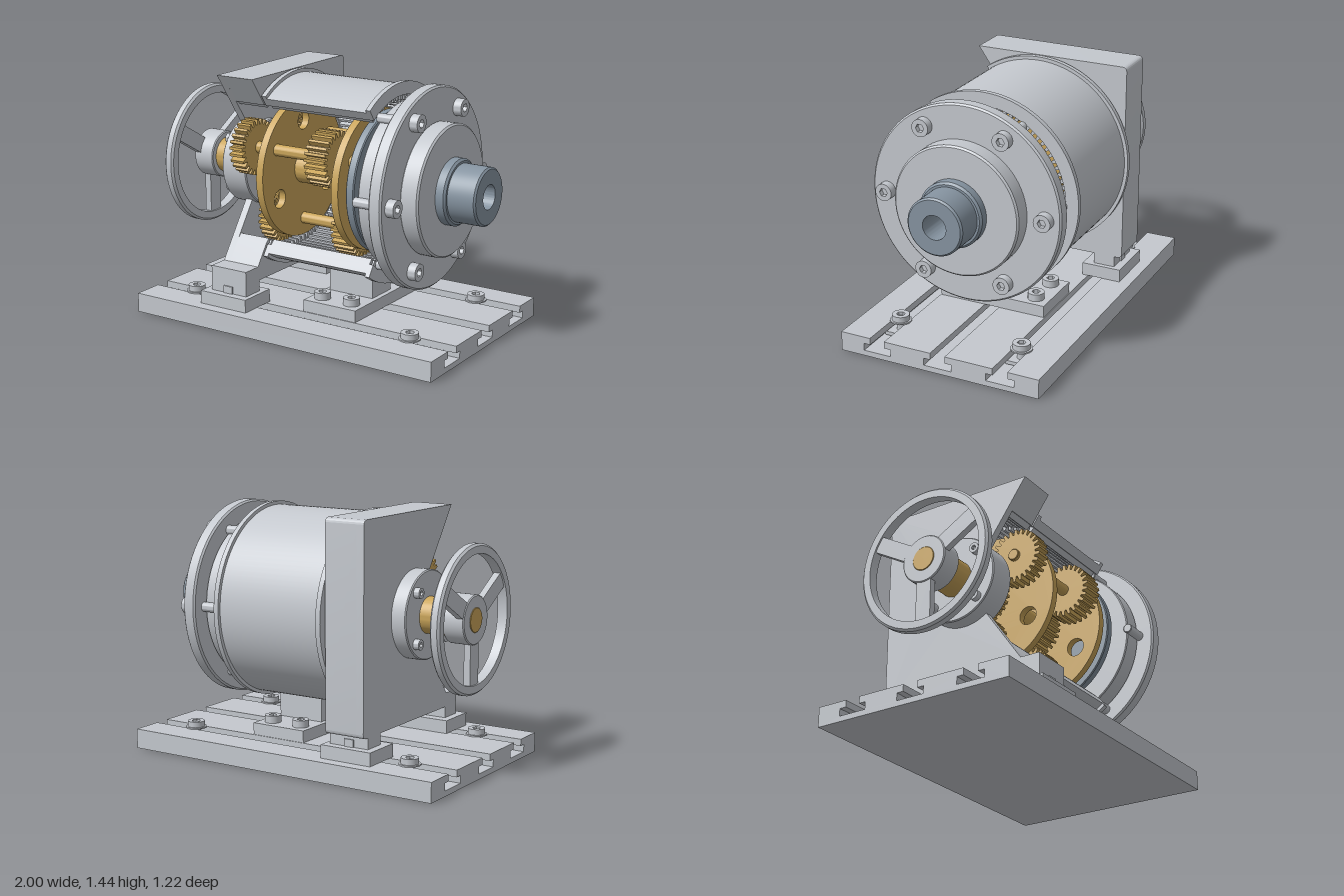
import * as THREE from 'three';
import { toCreasedNormals } from 'three/addons/utils/BufferGeometryUtils.js';

const mat = (name, color) => Object.assign(new THREE.MeshStandardMaterial({ color }), { name });
const AXIS = 0.87;                       // height of the drive axis
const CUT = THREE.MathUtils.degToRad(125); // cutaway wedge opens towards +z
const TAU = Math.PI * 2;

export function createModel() {
  const grey = mat('machined grey', 0xc4c8ce);
  const gold = mat('brass gold', 0xcaa55a);
  const blue = mat('steel blue', 0x8694a1);

  const model = new THREE.Group();
  model.name = 'cutawayGearbox';
  const drive = new THREE.Group();
  drive.name = 'driveTrain';
  drive.position.y = AXIS;
  model.add(drive);

  const add = (parent, name, geo, material, x = 0, y = 0, z = 0) => {
    const m = new THREE.Mesh(geo, material);
    m.name = name;
    m.position.set(x, y, z);
    parent.add(m);
    return m;
  };
  const box = (parent, name, m, x0, x1, y0, y1, z0, z1) =>
    add(parent, name, new THREE.BoxGeometry(x1 - x0, y1 - y0, z1 - z0), m, (x0 + x1) / 2, (y0 + y1) / 2, (z0 + z1) / 2);

  // Turned part along x, solid or with a bore, with bevelled outer edges
  const turned = (name, m, x0, x1, r, bore = 0, b = 0.006, parent = drive) => {
    const p = [[bore, x0], [r - b, x0], [r, x0 + b], [r, x1 - b], [r - b, x1], [bore, x1]];
    if (bore) p.push([bore, x0]);
    const g = new THREE.LatheGeometry(p.map(([a, c]) => new THREE.Vector2(a, c)), 72);
    g.rotateZ(-Math.PI / 2);
    return add(parent, name, toCreasedNormals(g, 0.5), m);
  };

  // Section drawn in (-z, y), extruded along x
  const alongX = (shape, x0, x1) => {
    const g = new THREE.ExtrudeGeometry(shape, { depth: x1 - x0, bevelEnabled: false, curveSegments: 48 });
    g.rotateY(Math.PI / 2);
    g.translate(x0, 0, 0);
    return toCreasedNormals(g, 0.3);
  };
  const polar = (r, a) => new THREE.Vector2(r * Math.cos(a), r * Math.sin(a));
  const poly = (pairs) => pairs.map(([a, b]) => new THREE.Vector2(a, b));

  // Trapezoid teeth between two angles
  const teeth = (n, root, tip, a0 = 0, a1 = TAU) => {
    const pts = [], step = (a1 - a0) / n;
    for (let i = 0; i < n; i++)
      [[0, root], [0.28, root], [0.42, tip], [0.82, tip]].forEach(([f, r]) => pts.push(polar(r, a0 + (i + f) * step)));
    return pts;
  };
  const arc = (r, a0, a1, n = 80) => Array.from({ length: n + 1 }, (_, i) => polar(r, a0 + ((a1 - a0) * i) / n));
  const circleHole = (x, y, r) => new THREE.Path().absarc(x, y, r, 0, TAU, true);

  // Socket head screw, pointing along +z before it is turned
  const screw = (parent, name, r, h, pos, axis) => {
    const g = new THREE.Group();
    g.name = name;
    const s = new THREE.Shape().absarc(0, 0, r, 0, TAU, false);
    s.holes.push(new THREE.Path(arc(r * 0.5, TAU, 0, 6)));
    const head = new THREE.ExtrudeGeometry(s, { depth: h, bevelEnabled: false, curveSegments: 16 });
    add(g, 'screwHead', toCreasedNormals(head, 0.5), grey);
    add(g, 'socketFloor', new THREE.CircleGeometry(r * 0.6, 12), grey, 0, 0, h * 0.45);
    if (axis === 'x') g.rotation.y = Math.PI / 2;
    if (axis === '-x') g.rotation.y = -Math.PI / 2;
    if (axis === 'y') g.rotation.x = -Math.PI / 2;
    g.position.set(...pos);
    parent.add(g);
  };

  // Base plate with three T-slots
  const top = 0.115;
  const section = [[-0.61, 0], [0.61, 0], [0.61, top]];
  for (const c of [0.38, 0, -0.38])
    section.push([c + 0.045, top], [c + 0.045, 0.075], [c + 0.085, 0.075], [c + 0.085, 0.032],
      [c - 0.085, 0.032], [c - 0.085, 0.075], [c - 0.045, 0.075], [c - 0.045, top]);
  section.push([-0.61, top]);
  add(model, 'basePlate', alongX(new THREE.Shape(poly(section)), -1, 1), grey);

  // Slot bolts at the corners
  for (const x of [-0.735, 0.735]) for (const z of [-0.38, 0.38]) {
    add(model, 'boltWasher', new THREE.CylinderGeometry(0.062, 0.062, 0.008, 32), grey, x, top + 0.004, z);
    screw(model, 'slotBolt', 0.05, 0.035, [x, top + 0.006, z], 'y');
    add(model, 'boltShank', new THREE.CylinderGeometry(0.025, 0.025, 0.08, 16), grey, x, 0.08, z);
    box(model, 'slotNut', grey, x - 0.065, x + 0.065, 0.04, 0.062, z - 0.065, z + 0.065);
  }

  // Housing foot
  box(model, 'housingFootPad', grey, 0, 0.35, top, 0.185, -0.33, 0.33);
  box(model, 'housingPedestal', grey, 0.03, 0.32, 0.18, 0.345, -0.1, 0.1);
  for (const x of [0.075, 0.272]) for (const z of [-0.245, 0.245])
    screw(model, 'footScrew', 0.048, 0.042, [x, 0.185, z], 'y');

  // Frame foot pads and retaining keys
  for (const s of [-1, 1]) {
    box(model, 'framePad', grey, -0.58, -0.26, top, 0.192, Math.min(s * 0.3, s * 0.54), Math.max(s * 0.3, s * 0.54));
    box(model, 'frameKey', grey, -0.445, -0.385, 0.19, 0.235, s * 0.492 - 0.006, s * 0.492 + 0.006);
  }

  // Cutaway frame: thin end wall and deep body with internal teeth
  const frame = (inner, x0, x1, name) => {
    const s = new THREE.Shape();
    const yy = (y) => y - AXIS;
    s.moveTo(-0.403, yy(1.445));
    inner.forEach((p) => s.lineTo(p.x, p.y));
    [[-0.371, 0.34], [-0.49, 0.34], [-0.49, 0.19], [-0.36, 0.19], [-0.36, 0.257], [0.36, 0.257], [0.36, 0.19],
      [0.49, 0.19], [0.49, 0.257], [0.51, 0.257]].forEach(([u, y]) => s.lineTo(u, yy(y)));
    s.quadraticCurveTo(0.537, yy(0.257), 0.537, yy(0.285));
    s.lineTo(0.537, yy(1.415));
    s.quadraticCurveTo(0.537, yy(1.445), 0.507, yy(1.445));
    add(drive, name, alongX(s, x0, x1), grey);
  };
  const ringTeeth = [...teeth(54, 0.5, 0.465, CUT, -CUT), polar(0.5, -CUT)];
  frame(arc(0.25, CUT, -CUT), -0.535, -0.49, 'frameEndWall');
  frame(ringTeeth, -0.49, -0.29, 'frameBody');

  // Cutaway ring housing with end flanges
  const sector = (outer, inner) => new THREE.Shape([...arc(outer, -CUT, CUT), ...inner]);
  add(drive, 'ringHousing', alongX(sector(0.555, ringTeeth), -0.255, 0.415), grey);
  for (const x of [-0.28, 0.41])
    add(drive, 'housingFlange', alongX(sector(0.575, arc(0.5, CUT, -CUT)), x, x + 0.03), grey);

  // Output end: bearing plate, large flange, cover
  turned('bearingPlate', grey, 0.455, 0.575, 0.475, 0.2);
  turned('outputFlange', grey, 0.58, 0.66, 0.575, 0.18, 0.01);
  turned('outputCover', grey, 0.655, 0.77, 0.377, 0.18, 0.01);
  for (let i = 0; i < 6; i++) {
    const p = polar(0.482, (i * TAU) / 6);
    screw(drive, 'flangeScrew', 0.05, 0.05, [0.66, p.y, -p.x], 'x');
    const stud = turned('flangeStud', grey, 0.44, 0.585, 0.028, 0, 0.004);
    stud.position.set(0, p.y, -p.x);
  }

  // Hollow output shaft with driven disc
  turned('outputDisc', blue, 0.335, 0.387, 0.41, 0.07);
  turned('outputHub', blue, 0.385, 0.46, 0.22, 0.07);
  turned('shaftCollar', blue, 0.45, 0.83, 0.19, 0.07, 0.012);
  turned('outputShaft', blue, 0.82, 1, 0.165, 0.07, 0.01);

  // Input end: bearing boss, screws, shaft
  turned('inputBoss', grey, -0.625, -0.455, 0.255, 0.1);
  for (let i = 0; i < 4; i++) {
    const p = polar(0.203, Math.PI / 4 + (i * Math.PI) / 2);
    screw(drive, 'bossScrew', 0.03, 0.036, [-0.624, p.y, -p.x], '-x');
  }
  turned('inputShaft', gold, -0.8, -0.3, 0.105);
  turned('inputShaftEnd', gold, -0.924, -0.79, 0.07, 0, 0.003);
  turned('sunShaft', gold, -0.3, 0.36, 0.093);

  // Handwheel
  turned('wheelRim', grey, -0.925, -0.865, 0.42, 0.365, 0.012);
  turned('wheelHub', grey, -0.92, -0.785, 0.14, 0.07);
  for (let i = 0; i < 3; i++) {
    const spoke = new THREE.BoxGeometry(0.04, 0.27, 0.095);
    spoke.translate(-0.895, -0.245, 0);
    add(drive, 'wheelSpoke', spoke, grey).rotation.x = (i * TAU) / 3;
  }

  // Planet carriers with lightening holes
  for (const [x0, x1] of [[-0.265, -0.22], [0.24, 0.285]]) {
    const disc = new THREE.Shape().absarc(0, 0, 0.41, 0, TAU, false);
    for (let i = 0; i < 3; i++) {
      const h = polar(0.28, Math.PI / 2 + (i * TAU) / 3);
      disc.holes.push(circleHole(h.x, h.y, 0.055));
    }
    add(drive, 'planetCarrier', alongX(disc, x0, x1), gold);
  }

  // Two planetary stages: sun and three planets on shared pins
  const gear = (name, n, tip, bore, x0, x1, p) => {
    const s = new THREE.Shape(teeth(n, tip - 0.03, tip));
    s.holes.push(circleHole(0, 0, bore));
    add(drive, name, alongX(s, x0, x1), gold, 0, p.y, -p.x);
  };
  const centre = new THREE.Vector2();
  gear('inputSunGear', 26, 0.16, 0.09, -0.44, -0.325, centre);
  gear('outputSunGear', 26, 0.16, 0.09, 0.075, 0.21, centre);
  for (let i = 0; i < 3; i++) {
    const p = polar(0.31, -Math.PI / 2 + (i * TAU) / 3);
    gear('inputPlanetGear', 26, 0.163, 0.03, -0.435, -0.345, p);
    gear('outputPlanetGear', 26, 0.163, 0.03, 0.075, 0.21, p);
    turned('planetPin', gold, -0.455, 0.305, 0.034, 0, 0.004).position.set(0, p.y, -p.x);
  }
  return model;
}
